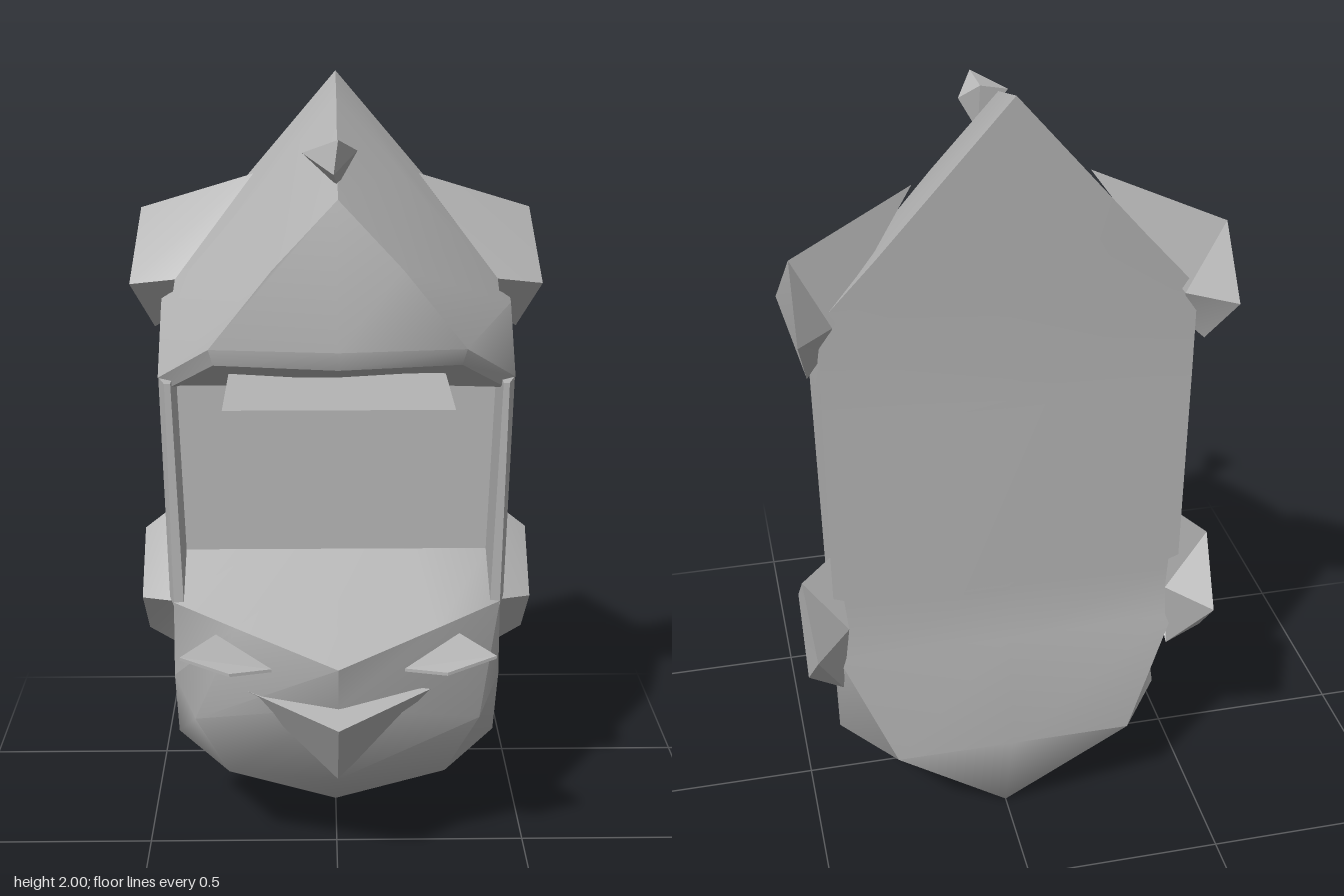
import * as THREE from 'three';
import { toCreasedNormals } from 'three/addons/utils/BufferGeometryUtils.js';
import { ConvexGeometry } from 'three/addons/geometries/ConvexGeometry.js';

const stone = new THREE.MeshStandardMaterial({ color: 0xb4b4b4, side: THREE.DoubleSide });
stone.name = 'grey stone';

const mesh = (name, geometry) => {
  const m = new THREE.Mesh(geometry, stone);
  m.name = name;
  return m;
};

// Skin closed rings of equal length, skipping collapsed triangles
function skin(rings, crease) {
  const pos = [];
  for (let i = 0; i < rings.length - 1; i++) {
    const lo = rings[i], hi = rings[i + 1], n = lo.length;
    for (let j = 0; j < n; j++) {
      const k = (j + 1) % n;
      for (const tri of [[lo[j], lo[k], hi[k]], [lo[j], hi[k], hi[j]]]) {
        const t = new THREE.Triangle(...tri.map((p) => new THREE.Vector3(...p)));
        if (t.getArea() > 1e-7) pos.push(...tri.flat());
      }
    }
  }
  const g = new THREE.BufferGeometry();
  g.setAttribute('position', new THREE.Float32BufferAttribute(pos, 3));
  g.computeVertexNormals();
  return toCreasedNormals(g, crease);
}

// Symmetric rows, bottom to top; each runs front centre, +x side, back centre
const loft = (rows, crease) => skin(rows.map((half) => [
  ...half, ...half.slice(1, -1).reverse().map(([x, y, z]) => [-x, y, z]),
]), crease);

// Faceted solid around a few corners
const solid = (points) => new ConvexGeometry(points.map((p) => new THREE.Vector3(...p)));

// Four-sided bolt from inner ring to outer ring: top, front, bottom, rear
const bolt = (inner, outer) => {
  const centre = [0, 1, 2].map((a) => outer.reduce((sum, p) => sum + p[a] / 4, 0));
  return skin([inner, outer, Array(4).fill(centre)], 0.4);
};

export function createModel() {
  const model = new THREE.Group();

  // Peaked hood with its sloping ceiling
  model.add(mesh('hood', loft([
    [[0, 1.25, -0.1], [0.2, 1.25, -0.1], [0.39, 1.25, -0.1], [0.433, 1.25, -0.24], [0, 1.25, -0.25]],
    [[0, 1.385, 0.255], [0.29, 1.375, 0.17], [0.41, 1.275, 0.01], [0.433, 1.27, -0.24], [0, 1.27, -0.25]],
    [[0, 1.43, 0.27], [0.3, 1.415, 0.18], [0.435, 1.3, 0.005], [0.433, 1.3, -0.24], [0, 1.3, -0.25]],
    [[0, 1.76, 0.18], [0.15, 1.6, 0.18], [0.43, 1.46, -0.1], [0.43, 1.51, -0.245], [0, 1.51, -0.255]],
    [[0, 1.95, -0.1], [0.15, 1.785, -0.1], [0.3, 1.61, -0.1], [0.3, 1.655, -0.255], [0, 1.66, -0.26]],
    Array(5).fill([0, 2, -0.27]),
  ], 0.6)));

  // Pointed lower jaw with the ledge on top
  model.add(mesh('jaw', loft([
    Array(5).fill([0, 0.005, -0.22]),
    [[0, 0.3, 0.195], [0.28, 0.255, 0.07], [0.425, 0.27, -0.13], [0.3, 0.29, -0.315], [0, 0.29, -0.315]],
    [[0, 0.54, 0.27], [0.36, 0.44, 0.13], [0.42, 0.5, 0], [0.43, 0.58, -0.24], [0, 0.58, -0.25]],
    [[0, 0.66, 0.31], [0.25, 0.703, 0.16], [0.41, 0.73, 0.06], [0.433, 0.74, -0.24], [0, 0.74, -0.25]],
    [[0, 0.81, -0.1], [0.2, 0.81, -0.1], [0.39, 0.81, -0.1], [0.433, 0.81, -0.24], [0, 0.81, -0.25]],
  ], 0.95)));

  // Back wall of the opening
  const wallRow = (y) => [[0, y, -0.1], [0.433, y, -0.1], [0.433, y, -0.24], [0, y, -0.25]];
  model.add(mesh('backWall', loft([wallRow(0.73), wallRow(1.3)], 0.6)));

  // Brow shelf
  const shelf = mesh('browShelf', new THREE.BoxGeometry(0.52, 0.07, 0.465));
  shelf.position.set(0, 1.29, 0.133);
  model.add(shelf);

  // Beak
  model.add(mesh('beak', solid([
    [-0.23, 0.55, 0.19], [0.23, 0.55, 0.19], [0, 0.52, 0.355], [0, 0.305, 0.2], [0, 0.55, 0.12],
  ])));

  // Small gem above the brow
  model.add(mesh('gem', solid([
    [-0.08, 1.86, 0.155], [0, 1.895, 0.205], [0.045, 1.86, 0.12],
    [0, 1.78, 0.115], [-0.01, 1.82, 0.215], [-0.01, 1.88, 0.135],
  ])));

  const blade = [[0.38, 0.685, 0.285], [0.3, 0.69, 0.165], [0.16, 0.655, 0.29], [0.26, 0.66, 0.325]];
  const sideParts = {
    // Post beside the opening
    Post: solid([
      [0.385, 0.72, 0.06], [0.41, 0.72, 0.06], [0.425, 0.72, 0], [0.433, 0.72, -0.11], [0.385, 0.72, -0.11],
      [0.4, 1.3, 0.06], [0.415, 1.3, 0.06], [0.434, 1.3, 0], [0.434, 1.3, -0.11], [0.4, 1.3, -0.11],
    ]),
    // Flared bolts
    UpperBolt: bolt(
      [[0.2, 1.77, -0.14], [0.39, 1.53, -0.05], [0.42, 1.4, -0.19], [0.4, 1.5, -0.25]],
      [[0.485, 1.67, -0.25], [0.505, 1.51, -0.09], [0.46, 1.37, -0.23], [0.487, 1.52, -0.365]],
    ),
    LowerBolt: bolt(
      [[0.42, 0.89, -0.225], [0.41, 0.69, -0.04], [0.42, 0.48, -0.23], [0.4, 0.675, -0.25]],
      [[0.505, 0.82, -0.235], [0.505, 0.68, -0.09], [0.505, 0.53, -0.235], [0.49, 0.675, -0.365]],
    ),
    // Thin cheek blade
    CheekBlade: solid([...blade, ...blade.map(([x, y, z]) => [x, y - 0.008, z])]),
  };
  for (const [label, side] of [['left', 1], ['right', -1]]) {
    for (const [part, geometry] of Object.entries(sideParts)) {
      const m = mesh(label + part, geometry);
      m.scale.x = side;
      model.add(m);
    }
  }
  return model;
}
